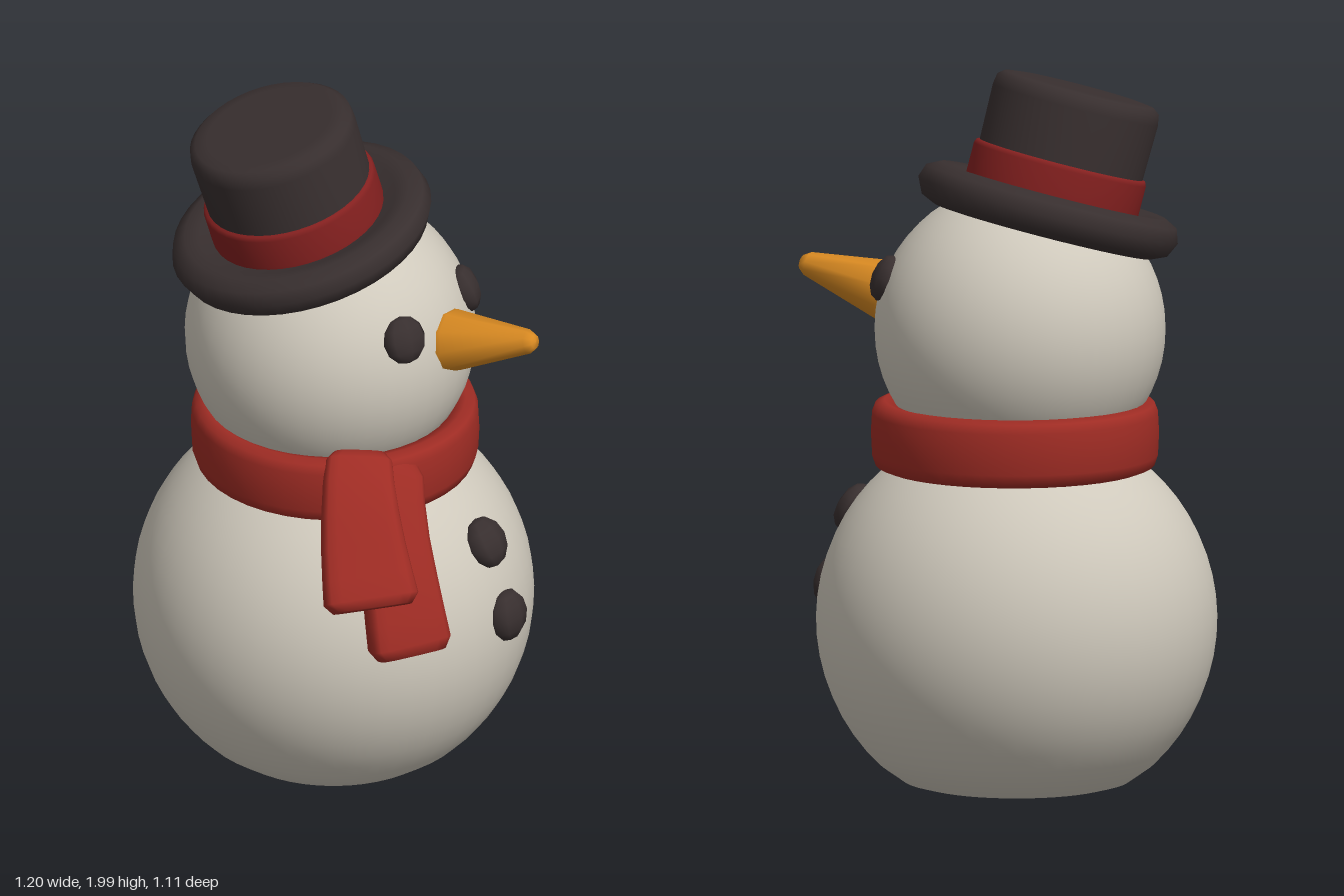
import * as THREE from 'three';

const V = (x, y, z) => new THREE.Vector3(x, y, z);
const mat = (name, color) => {
  const m = new THREE.MeshStandardMaterial({ color });
  m.name = name;
  return m;
};

// Lathe from [radius, height] pairs, listed from the bottom outwards and up
function lathe(name, pairs, material, segments = 40) {
  const g = new THREE.LatheGeometry(pairs.map(([r, y]) => new THREE.Vector2(r, y)), segments);
  const mesh = new THREE.Mesh(g, material);
  mesh.name = name;
  return mesh;
}

// Rounded strip swept along a curve, widening towards its end
function strip(name, points, across, w0, w1, thickness, material) {
  const curve = new THREE.CatmullRomCurve3(points);
  const rows = [[0, 0], [0, 0.8], [0.06, 1], [0.2, 1], [0.4, 1], [0.6, 1], [0.8, 1], [0.94, 1], [1, 0.82], [1, 0]];
  const n = 16, pos = [], idx = [];
  const power = (v) => Math.sign(v) * Math.sqrt(Math.abs(v));
  rows.forEach(([u, s], i) => {
    const c = curve.getPointAt(u), t = curve.getTangentAt(u);
    const w = across.clone().addScaledVector(t, -across.dot(t)).normalize();
    const nrm = t.clone().cross(w);
    const half = THREE.MathUtils.lerp(w0, w1, u) / 2;
    for (let j = 0; j < n; j++) {
      const a = (j / n) * Math.PI * 2;
      const p = c.clone()
        .addScaledVector(w, power(Math.cos(a)) * half * s)
        .addScaledVector(nrm, power(Math.sin(a)) * thickness / 2 * s);
      pos.push(p.x, p.y, p.z);
      if (i < rows.length - 1) {
        const k = (j + 1) % n, A = i * n + j, B = i * n + k;
        idx.push(A, B, A + n, B, B + n, A + n);
      }
    }
  });
  const g = new THREE.BufferGeometry();
  g.setAttribute('position', new THREE.Float32BufferAttribute(pos, 3));
  g.setIndex(idx);
  g.computeVertexNormals();
  const mesh = new THREE.Mesh(g, material);
  mesh.name = name;
  return mesh;
}

export function createModel() {
  const snow = mat('snow', 0xcfc9bc);
  const black = mat('charcoal', 0x382f2f);
  const red = mat('scarfRed', 0x9f2c24);
  const darkRed = mat('bandRed', 0x84201f);
  const orange = mat('carrotOrange', 0xd98a22);
  const model = new THREE.Group();
  model.name = 'snowman';

  // Body: a ball cut flat where it meets the ground
  const R = 0.553, cy = 0.46, profile = [[0, 0], [0.27, 0], [0.315, 0.012]];
  for (let i = 1; i <= 24; i++) {
    const a = THREE.MathUtils.lerp(-0.92, Math.PI / 2, i / 24);
    profile.push([Math.max(0, R * Math.cos(a)), cy + R * Math.sin(a)]);
  }
  const body = lathe('body', profile, snow, 48);
  body.position.x = -0.05;
  model.add(body);

  // Head
  const headCentre = V(-0.06, 1.27, 0);
  const head = new THREE.Mesh(new THREE.SphereGeometry(0.402, 40, 28), snow);
  head.name = 'head';
  head.position.copy(headCentre);
  model.add(head);

  // Scarf ring and its two hanging ends
  const ring = lathe('scarfRing', [
    [0.29, 0.89], [0.36, 0.88], [0.385, 0.89], [0.395, 0.92], [0.398, 0.98],
    [0.395, 1.035], [0.385, 1.06], [0.36, 1.07], [0.31, 1.055], [0.29, 0.89],
  ], red);
  ring.position.x = -0.045;
  model.add(ring);
  model.add(strip('scarfOuterEnd', [V(0.18, 1.07, 0.26), V(0.225, 1.0, 0.34), V(0.28, 0.87, 0.41), V(0.345, 0.735, 0.475)],
    V(0.85, -0.05, -0.52), 0.18, 0.27, 0.09, red));
  model.add(strip('scarfInnerEnd', [V(0.25, 1.03, 0.2), V(0.29, 0.9, 0.27), V(0.35, 0.74, 0.33), V(0.405, 0.555, 0.365)],
    V(0.62, -0.05, -0.78), 0.17, 0.24, 0.09, red));

  // Coal eyes and buttons: flattened lumps facing out of the ball they sit on
  const lump = new THREE.SphereGeometry(1, 8, 6);
  const coal = (name, p, centre, r, depth) => {
    const m = new THREE.Mesh(lump, black);
    m.name = name;
    m.position.copy(p);
    m.lookAt(p.clone().multiplyScalar(2).sub(centre));
    m.scale.set(r, r, depth);
    model.add(m);
  };
  for (const s of [1, -1]) coal(s > 0 ? 'rightEye' : 'leftEye', V(0.272, 1.415, 0.17 * s), headCentre, 0.067, 0.038);
  const bodyCentre = V(-0.05, cy, 0);
  coal('upperButton', V(0.435, 0.74, 0), bodyCentre, 0.073, 0.045);
  coal('lowerButton', V(0.503, 0.53, 0), bodyCentre, 0.073, 0.045);

  // Carrot nose, pointing forward and slightly up
  const from = V(0.27, 1.333, 0), to = V(0.59, 1.415, 0);
  const length = from.distanceTo(to);
  const nose = lathe('nose', [
    [0, 0], [0.09, 0], [0.086, 0.07], [0.034, length - 0.02], [0.02, length], [0, length + 0.003],
  ], orange, 9);
  nose.position.copy(from);
  nose.quaternion.setFromUnitVectors(V(0, 1, 0), to.clone().sub(from).normalize());
  model.add(nose);

  // Tilted top hat
  const hat = new THREE.Group();
  hat.name = 'hat';
  hat.add(lathe('hatBrim', [
    [0, -0.045], [0.24, -0.05], [0.31, -0.06], [0.35, -0.042], [0.37, 0], [0.357, 0.038],
    [0.32, 0.057], [0.28, 0.05], [0.24, 0.035], [0.2, 0.03],
  ], black));
  hat.add(lathe('hatCrown', [
    [0.23, 0.01], [0.232, 0.15], [0.235, 0.3], [0.23, 0.33], [0.212, 0.344], [0.18, 0.348], [0, 0.35],
  ], black));
  hat.add(lathe('hatBand', [[0.24, 0.02], [0.245, 0.045], [0.245, 0.13], [0.24, 0.142], [0.225, 0.145]], darkRed));
  hat.position.set(-0.125, 1.597, 0.045);
  hat.quaternion.setFromUnitVectors(V(0, 1, 0), V(-0.2, 1, 0.2).normalize());
  model.add(hat);

  return model;
}
